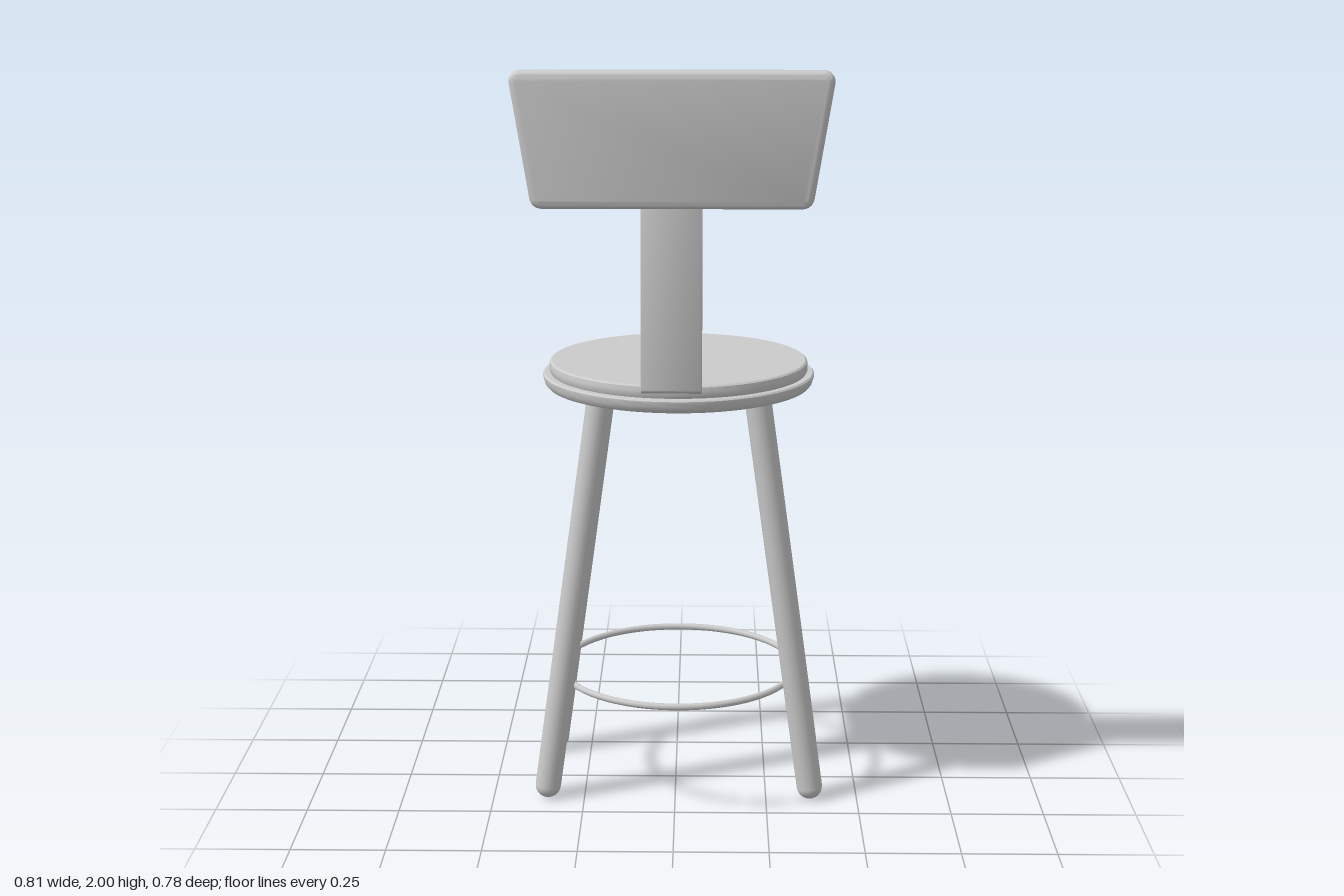
import * as THREE from 'three';
import { toCreasedNormals } from 'three/addons/utils/BufferGeometryUtils.js';

const material = new THREE.MeshStandardMaterial({ color: 0xcccccc });
const CX = 0.007, CZ = -0.023; // centre of the seat

function part(name, geometry, x = 0, y = 0, z = 0) {
  const mesh = new THREE.Mesh(geometry, material);
  mesh.name = name;
  mesh.position.set(x, y, z);
  return mesh;
}

function lathe(points) {
  const profile = points.map(([r, y]) => new THREE.Vector2(r, y));
  return toCreasedNormals(new THREE.LatheGeometry(profile, 72), 0.6);
}

// Polygon outline whose corners are rounded by distance r
function roundedOutline(points, r) {
  const shape = new THREE.Shape();
  const v = points.map(([x, y]) => new THREE.Vector2(x, y));
  v.forEach((p, i) => {
    const prev = v[(i + v.length - 1) % v.length];
    const next = v[(i + 1) % v.length];
    const a = p.clone().add(prev.clone().sub(p).setLength(r));
    const b = p.clone().add(next.clone().sub(p).setLength(r));
    if (i === 0) shape.moveTo(a.x, a.y);
    else shape.lineTo(a.x, a.y);
    shape.quadraticCurveTo(p.x, p.y, b.x, b.y);
  });
  shape.closePath();
  return shape;
}

// Extrusion centred on its depth, with a rounded rim inside the given depth
function slab(shape, depth, bevel) {
  const geometry = new THREE.ExtrudeGeometry(shape, {
    depth: depth - 2 * bevel, bevelEnabled: true, bevelSize: bevel,
    bevelThickness: bevel, bevelSegments: 4, curveSegments: 5,
  });
  geometry.translate(0, 0, bevel - depth / 2);
  return toCreasedNormals(geometry, 0.6);
}

export function createModel() {
  const model = new THREE.Group();
  model.name = 'barStool';

  // Seat: a rounded rim with a slightly smaller pad on top
  model.add(part('seatRim', lathe([
    [0, 1.132], [0.345, 1.132], [0.354, 1.135], [0.361, 1.143], [0.364, 1.153],
    [0.366, 1.16], [0.366, 1.166], [0.362, 1.17], [0, 1.17],
  ]), CX, 0, CZ));
  model.add(part('seatPad', lathe([
    [0, 1.165], [0.342, 1.165], [0.348, 1.175], [0.349, 1.19],
    [0.347, 1.199], [0.342, 1.203], [0, 1.203],
  ]), CX, 0, CZ));

  // Four round-ended legs, splayed sideways only
  const legRadius = 0.035;
  for (const side of [-1, 1]) {
    for (const z of [0.145, -0.2]) {
      const foot = new THREE.Vector3(CX + 0.003 + side * 0.36, legRadius, z);
      const top = new THREE.Vector3(CX + 0.003 + side * 0.208, 1.13, z);
      const axis = top.clone().sub(foot);
      const leg = part('leg', new THREE.CapsuleGeometry(legRadius, axis.length(), 8, 24));
      leg.position.copy(foot).add(top).multiplyScalar(0.5);
      leg.quaternion.setFromUnitVectors(new THREE.Vector3(0, 1, 0), axis.normalize());
      model.add(leg);
    }
  }

  // Footrest ring
  const ring = part('footRing', new THREE.TorusGeometry(0.325, 0.009, 10, 72), CX, 0.325, CZ);
  ring.rotation.x = Math.PI / 2;
  model.add(ring);

  // Bent back support, outlined in (z, y) and extruded across x
  const support = slab(roundedOutline([
    [0.316, 1.69], [0.312, 1.66], [0.358, 1.214], [0.29, 1.195],
    [0.29, 1.178], [0.386, 1.204], [0.342, 1.66], [0.34, 1.69],
  ], 0.004), 0.155, 0.003);
  support.rotateY(-Math.PI / 2);
  model.add(part('backSupport', support, -0.006));

  // Backrest: tapered slab, leaning slightly
  const bevel = 0.018;
  const backrest = part('backrest', slab(roundedOutline([
    [-0.335, -0.152], [0.335, -0.152], [0.385, 0.152], [-0.385, 0.152],
  ], 0.012), 0.08, bevel), -0.005, 1.83, 0.323);
  backrest.rotation.x = -0.02;
  model.add(backrest);

  return model;
}
